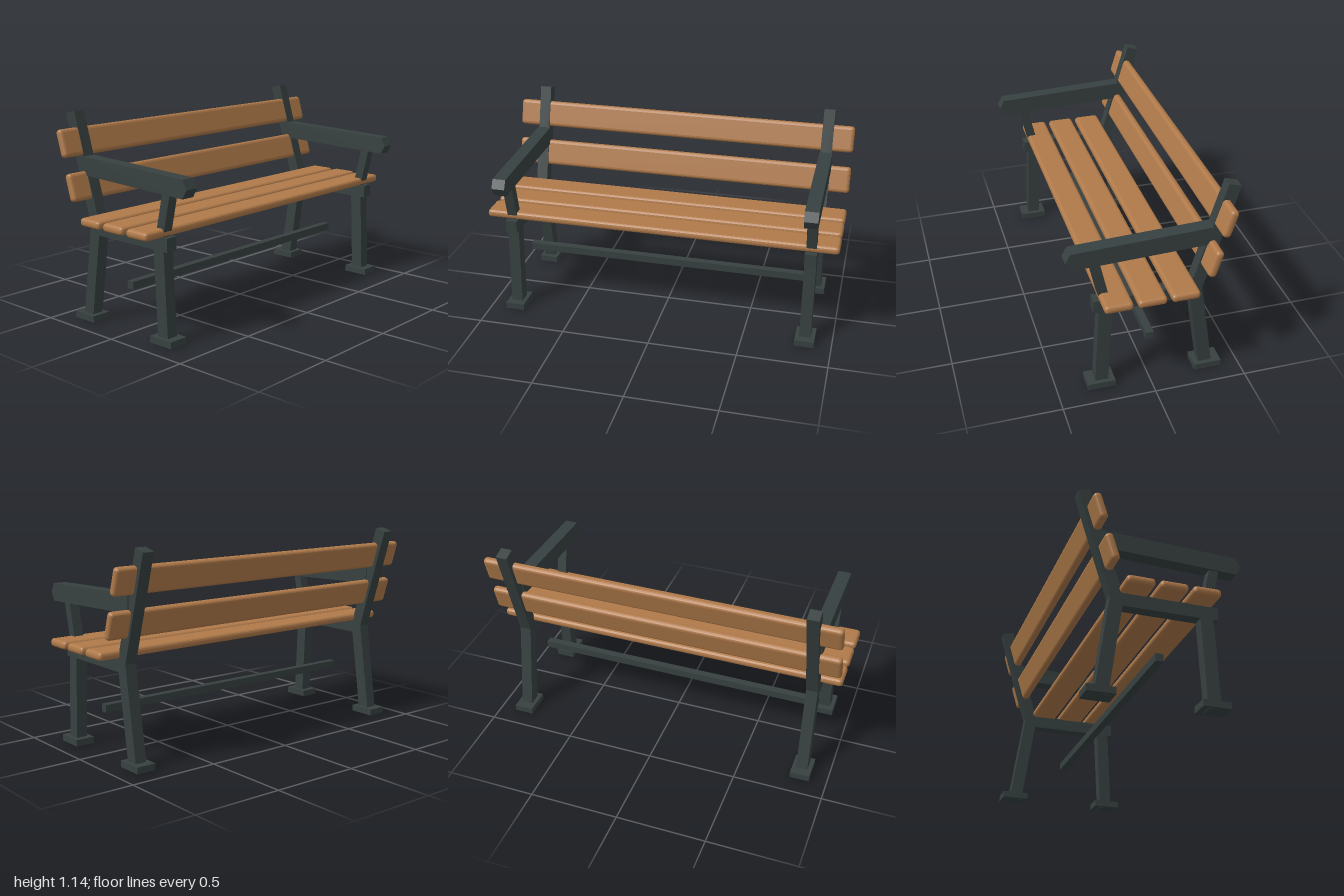
import * as THREE from 'three';
import { RoundedBoxGeometry } from 'three/addons/geometries/RoundedBoxGeometry.js';

const wood = new THREE.MeshStandardMaterial({ color: 0xb07a4a });
wood.name = 'wood';
const iron = new THREE.MeshStandardMaterial({ color: 0x374040 });
iron.name = 'dark iron';

function add(parent, name, geometry, material, x, y, z, tilt = 0) {
  const mesh = new THREE.Mesh(geometry, material);
  mesh.name = name;
  mesh.position.set(x, y, z);
  mesh.rotation.x = tilt;
  parent.add(mesh);
  return mesh;
}

// Square bar running between two [z, y] points in the side plane
function bar(parent, name, [z0, y0], [z1, y1], width, depth) {
  const length = Math.hypot(z1 - z0, y1 - y0);
  const tilt = Math.atan2(z1 - z0, y1 - y0);
  add(parent, name, new THREE.BoxGeometry(width, length, depth), iron,
    0, (y0 + y1) / 2, (z0 + z1) / 2, tilt);
}

// Armrest: side outline with a pointed front, extruded across its width
function armrestGeometry(width) {
  const outline = [[0.445, 0.833], [0.418, 0.882], [-0.312, 0.909], [-0.312, 0.81], [0.418, 0.785]];
  const shape = new THREE.Shape(outline.map(([z, y]) => new THREE.Vector2(-z, y)));
  const geometry = new THREE.ExtrudeGeometry(shape, { depth: width, bevelEnabled: false });
  geometry.translate(0, 0, -width / 2);
  geometry.rotateY(Math.PI / 2);
  return geometry;
}

function sideFrame(x, name) {
  const frame = new THREE.Group();
  frame.name = name;
  frame.position.x = x;
  bar(frame, 'frontLeg', [0.263, 0.008], [0.24, 0.53], 0.064, 0.071);
  bar(frame, 'backLeg', [-0.319, 0.01], [-0.238, 0.54], 0.064, 0.071);
  bar(frame, 'backPost', [-0.237, 0.545], [-0.412, 1.134], 0.064, 0.069);
  bar(frame, 'armSupport', [0.24, 0.55], [0.299, 0.81], 0.055, 0.051);
  add(frame, 'seatRail', new THREE.BoxGeometry(0.064, 0.073, 0.555), iron, 0, 0.533, 0.0255);
  add(frame, 'armrest', armrestGeometry(0.074), iron, 0, 0, 0);
  for (const [foot, z] of [['frontFoot', 0.266], ['backFoot', -0.324]]) {
    add(frame, foot, new THREE.BoxGeometry(0.11, 0.036, 0.15), iron, 0, 0.027, z);
  }
  return frame;
}

export function createModel() {
  const bench = new THREE.Group();
  bench.name = 'bench';

  // Two mirrored iron frames joined by a low stretcher
  bench.add(sideFrame(0.85, 'leftFrame'), sideFrame(-0.85, 'rightFrame'));
  add(bench, 'stretcher', new THREE.BoxGeometry(1.7, 0.042, 0.042), iron, 0, 0.259, -0.009);

  // Faceted planks with softened edges
  const slat = new RoundedBoxGeometry(2, 0.045, 0.15, 2, 0.019);
  slat.computeVertexNormals();
  [0.202, 0.027, -0.148].forEach((z, i) =>
    add(bench, `seatSlat${i + 1}`, slat, wood, 0, 0.59, z));

  // Back planks lean with the posts
  const lean = Math.PI / 2 - 0.289;
  [[0.757, -0.295], [0.983, -0.356]].forEach(([y, z], i) =>
    add(bench, `backSlat${i + 1}`, slat, wood, 0, y, z, lean));

  return bench;
}
